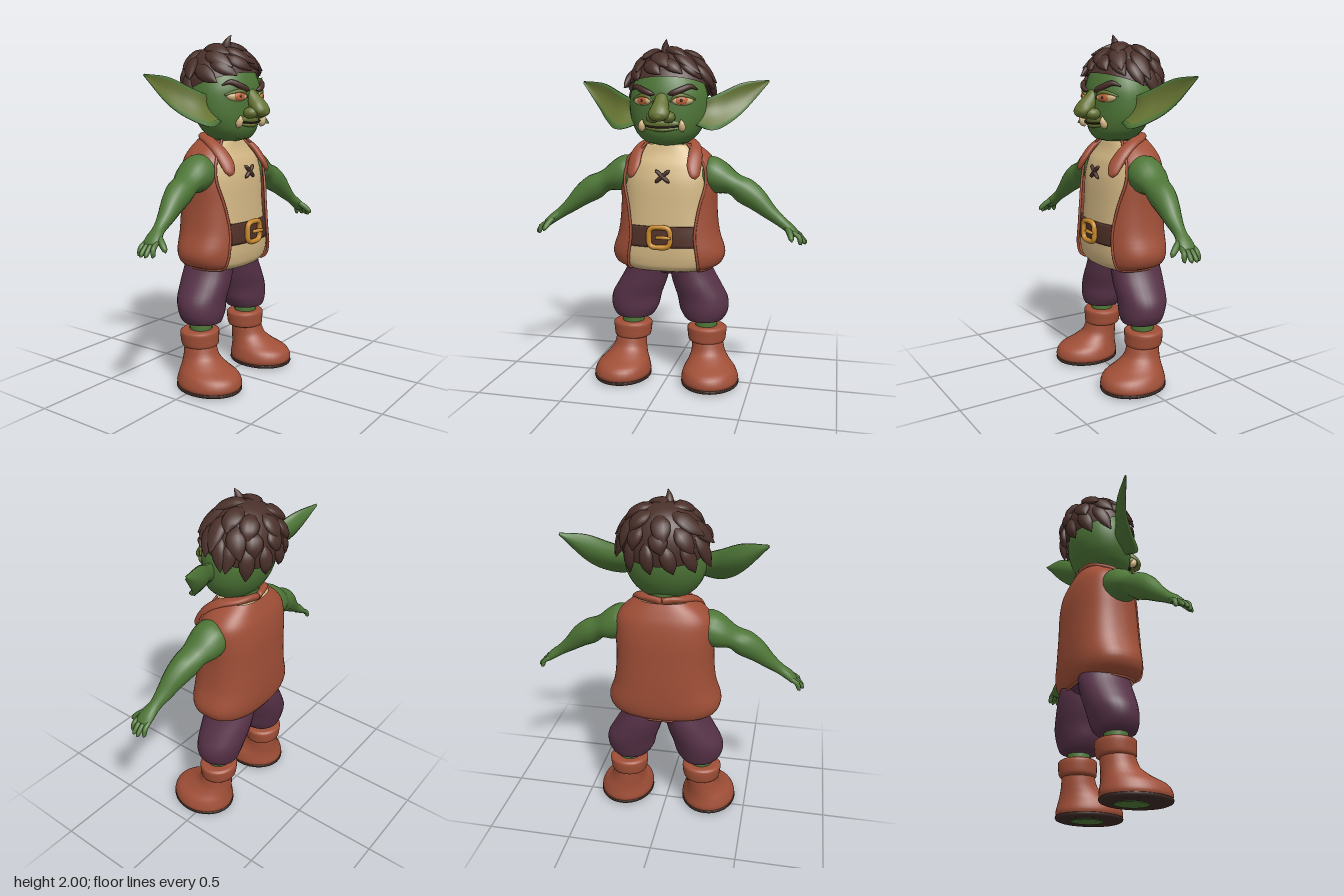
import * as THREE from 'three';

const V = (x, y, z) => new THREE.Vector3(x, y, z);
const mat = (name, color, side = THREE.FrontSide) => {
  const m = new THREE.MeshStandardMaterial({ color, side });
  m.name = name;
  return m;
};

// Surface through rings of points; wrapped rings get end caps
function skin(rings, wrap = true) {
  const n = rings[0].length, pos = [], idx = [];
  rings.forEach(r => r.forEach(p => pos.push(p.x, p.y, p.z)));
  for (let i = 0; i < rings.length - 1; i++)
    for (let j = 0; j < (wrap ? n : n - 1); j++) {
      const a = i * n + j, b = i * n + (j + 1) % n, c = a + n, d = b + n;
      idx.push(a, c, b, b, c, d);
    }
  if (wrap) [0, rings.length - 1].forEach((k, end) => {
    const mid = V(0, 0, 0), id = pos.length / 3;
    rings[k].forEach(p => mid.addScaledVector(p, 1 / n));
    pos.push(mid.x, mid.y, mid.z);
    for (let j = 0; j < n; j++) {
      const a = k * n + j, b = k * n + (j + 1) % n;
      end ? idx.push(id, b, a) : idx.push(id, a, b);
    }
  });
  const g = new THREE.BufferGeometry();
  g.setAttribute('position', new THREE.Float32BufferAttribute(pos, 3));
  g.setIndex(idx);
  g.computeVertexNormals();
  return g;
}

const bend = (v, e) => Math.sign(v) * Math.abs(v) ** e;

// Rows are [x, y, z, r1, r2]; flat keeps every section level (rows then run upward)
function sweep(rows, { up = [0, 0, 1], flat = false, pow = 1, n = 18, k = 4 } = {}) {
  const path = new THREE.CatmullRomCurve3(rows.map(r => V(r[0], r[1], r[2])));
  const size = new THREE.CatmullRomCurve3(rows.map((r, i) => V(r[3], r[4] ?? r[3], i * 0.05)));
  const R = V(...up), rings = [], steps = (rows.length - 1) * k;
  for (let i = 0; i <= steps; i++) {
    const u = i / steps, c = path.getPoint(u), s = size.getPoint(u);
    const T = flat ? V(0, 1, 0) : path.getTangent(u);
    const S = flat ? V(1, 0, 0) : T.clone().cross(R).normalize();
    const B = S.clone().cross(T);
    rings.push(Array.from({ length: n }, (_, j) => {
      const a = j / n * Math.PI * 2;
      return c.clone().addScaledVector(S, s.x * bend(Math.cos(a), pow)).addScaledVector(B, s.y * bend(Math.sin(a), pow));
    }));
  }
  return skin(rings);
}

const blob = (rx, ry, rz, x, y, z, turn = 0) =>
  new THREE.SphereGeometry(1, 20, 14).scale(rx, ry, rz).rotateY(turn).translate(x, y, z);

function mirror(geo) {
  const g = geo.clone().scale(-1, 1, 1), ix = g.index;
  for (let i = 0; i < ix.count; i += 3) {
    const a = ix.getX(i);
    ix.setX(i, ix.getX(i + 2));
    ix.setX(i + 2, a);
  }
  return g;
}

export function createModel() {
  const root = new THREE.Group();
  root.name = 'goblin';
  const skinGreen = mat('skin green', 0x4e7637), olive = mat('olive skin', 0x667432, THREE.DoubleSide);
  const hair = mat('dark brown hair', 0x4a302a, THREE.DoubleSide), leather = mat('belt brown', 0x523229);
  const cream = mat('cream cloth', 0xd3b784), rust = mat('rust leather', 0xa04f37, THREE.DoubleSide);
  const purple = mat('purple cloth', 0x573248), gold = mat('gold', 0xc88a2c);
  const orange = mat('orange iris', 0xc8683a), dark = mat('dark sole', 0x3e2b25);
  const add = (name, geo, m) => {
    const mesh = new THREE.Mesh(geo, m);
    mesh.name = name;
    root.add(mesh);
  };
  const pair = (name, geo, m) => {
    add('left' + name, geo, m);
    add('right' + name, mirror(geo), m);
  };

  // Head and neck
  add('head', sweep([[0, 1.4, 0.01, 0.03, 0.03], [0, 1.42, 0.015, 0.12, 0.105], [0, 1.47, 0.005, 0.178, 0.147],
    [0, 1.54, -0.01, 0.215, 0.172], [0, 1.62, -0.02, 0.228, 0.185], [0, 1.7, -0.02, 0.222, 0.185],
    [0, 1.8, -0.02, 0.18, 0.155], [0, 1.87, -0.02, 0.08, 0.08], [0, 1.88, -0.02, 0.01, 0.01]], { flat: true, n: 32 }), skinGreen);
  add('neck', new THREE.CylinderGeometry(0.095, 0.09, 0.14, 20).translate(0, 1.39, -0.04), skinGreen);

  // Face
  add('muzzle', blob(0.135, 0.05, 0.088, 0, 1.527, 0.083), olive);
  add('nose', sweep([[0, 1.7, 0.13, 0.03, 0.02], [0, 1.66, 0.16, 0.038, 0.032], [0, 1.615, 0.19, 0.05, 0.045],
    [0, 1.585, 0.222, 0.058, 0.042], [0, 1.568, 0.25, 0.045, 0.028], [0, 1.56, 0.265, 0.008, 0.006]]), olive);
  pair('Nostril', blob(0.037, 0.032, 0.045, 0.045, 1.565, 0.18), olive);
  add('mouth', sweep([[-0.11, 1.522, 0.143, 0.003], [-0.06, 1.512, 0.167, 0.005], [0, 1.509, 0.171, 0.005],
    [0.06, 1.512, 0.167, 0.005], [0.11, 1.522, 0.143, 0.003]], { n: 8 }), dark);
  add('lowerLip', sweep([[-0.1, 1.505, 0.135, 0.006], [0, 1.495, 0.16, 0.011], [0.1, 1.505, 0.135, 0.006]], { n: 10 }), olive);
  pair('Tusk', sweep([[0.113, 1.488, 0.14, 0.008], [0.115, 1.505, 0.152, 0.02], [0.115, 1.53, 0.162, 0.016],
    [0.11, 1.552, 0.16, 0.003]], { n: 12 }), cream);
  pair('Eye', blob(0.062, 0.026, 0.022, 0.113, 1.655, 0.136, 0.5), cream);
  pair('Iris', blob(0.034, 0.023, 0.01, 0.111, 1.656, 0.154, 0.4), orange);
  pair('Pupil', blob(0.007, 0.008, 0.005, 0.112, 1.656, 0.163, 0.4), dark);
  pair('EyeLid', sweep([[0.05, 1.65, 0.163, 0.005], [0.08, 1.678, 0.163, 0.01], [0.12, 1.683, 0.147, 0.011],
    [0.178, 1.662, 0.1, 0.005]], { n: 10 }), olive);
  pair('Brow', sweep([[0.038, 1.69, 0.165, 0.004], [0.065, 1.696, 0.169, 0.015, 0.013], [0.11, 1.714, 0.155, 0.017, 0.014],
    [0.155, 1.732, 0.122, 0.014, 0.013], [0.188, 1.715, 0.09, 0.003]], { n: 12 }), hair);

  // Ears: bowl in front, rounded behind
  const upper = new THREE.CatmullRomCurve3([V(0.19, 1.65, 0.03), V(0.3, 1.7, -0.03), V(0.42, 1.757, -0.09), V(0.56, 1.772, -0.135)]);
  const lower = new THREE.CatmullRomCurve3([V(0.18, 1.52, 0.08), V(0.28, 1.493, 0.095), V(0.37, 1.54, 0.005), V(0.44, 1.61, -0.07), V(0.562, 1.76, -0.135)]);
  const back = V(-0.45, -0.05, -0.89);
  const earPoint = (t, s, rim, bulge) => upper.getPoint(t).lerp(lower.getPoint(t), s)
    .addScaledVector(back, (1 - t * t * 0.85) * (rim + bulge * Math.sin(Math.PI * s)));
  const earRings = [], innerRings = [];
  for (let i = 0; i <= 18; i++) {
    const t = i / 18, ring = [], inner = [];
    for (let j = 0; j <= 8; j++) ring.push(earPoint(t, j / 8, 0.022, 0.055));
    for (let j = 8; j >= 0; j--) ring.push(earPoint(t, j / 8, 0, 0.035));
    for (let j = 8; j >= 0; j--) inner.push(earPoint(t * 0.95, 0.1 + 0.76 * j / 8, -0.007, 0.035));
    earRings.push(ring);
    innerRings.push(inner);
  }
  pair('Ear', skin(earRings), skinGreen);
  pair('EarInside', skin(innerRings, false), olive);

  // Hair: tilted cap with tousled, swept locks
  const place = g => g.rotateX(-0.35).translate(0, 1.7, -0.035);
  const capPoint = (az, th, k) => V(0.243 * Math.sin(th) * Math.sin(az) * k, 0.25 * Math.cos(th) * k, 0.205 * Math.sin(th) * Math.cos(az) * k);
  add('hairCap', place(new THREE.SphereGeometry(1, 32, 16, 0, Math.PI * 2, 0, 1.5).scale(0.243, 0.25, 0.205)), hair);
  [[0.25, 1.0, 6, 0.062], [0.65, 1.3, 9, 0.06], [1.0, 1.53, 13, 0.05]].forEach(([t0, t1, count, w], layer) => {
    for (let i = 0; i < count; i++) {
      const az = (i + layer * 0.4) / count * Math.PI * 2, wob = Math.sin(i * 5.3 + layer * 2);
      const end = t1 + 0.1 * wob + (layer === 2 && Math.cos(az) < -0.4 ? 0.22 : 0);
      const turn = 0.55 * (Math.cos(az) > -0.2 ? 1 : 0.3);
      const at = (f, k, r, q) => [...capPoint(az + turn * f, t0 + (end - t0) * f, k).toArray(), r, q];
      const g = sweep([at(0, 0.96, 0.012, 0.008), at(0.35, 1, w * 0.8, 0.022), at(0.7, 1.04, w * 0.72, 0.02),
        at(1, 1.1 + 0.05 * wob, 0.003, 0.003)], { up: capPoint(az + turn / 2, (t0 + end) / 2, 1).normalize().toArray(), n: 10 });
      add('hairLock', place(g), hair);
    }
  });
  add('hairSprout', sweep([[-0.01, 1.92, -0.01, 0.035], [-0.015, 1.955, 0, 0.022], [-0.005, 1.995, 0.02, 0.002]], { n: 10 }), hair);

  // Torso: vest rows are [y, z, rx, rz, half width of the front opening]
  const body = [[0.69, -0.02, 0.25, 0.165, 0.2], [0.72, -0.025, 0.31, 0.188, 0.205], [0.78, -0.028, 0.333, 0.2, 0.2],
    [0.9, -0.03, 0.298, 0.204, 0.187], [1.05, -0.033, 0.282, 0.198, 0.205], [1.2, -0.036, 0.282, 0.19, 0.238],
    [1.3, -0.042, 0.272, 0.168, 0.222], [1.36, -0.048, 0.225, 0.14, 0.17], [1.415, -0.045, 0.15, 0.118, 0.12]];
  add('shirt', sweep(body.map(([y, z, a, b]) => [0, y - 0.006, z, a - 0.02, b - 0.018]), { flat: true, pow: 0.8, n: 40 }), cream);
  const shape = new THREE.CatmullRomCurve3(body.map(r => V(r[2], r[0], r[3])));
  const cut = new THREE.CatmullRomCurve3(body.map(r => V(r[4], r[0], r[1])));
  const vest = [];
  for (let i = 0; i <= 32; i++) {
    const s = shape.getPoint(i / 32), c = cut.getPoint(i / 32);
    const open = Math.acos(Math.min(0.98, c.x / s.x) ** 1.25), from = Math.PI - open;
    vest.push(Array.from({ length: 49 }, (_, j) => {
      const a = from + (Math.PI + 2 * open) * j / 48;
      return V(s.x * bend(Math.cos(a), 0.8), s.y, c.z + s.z * bend(Math.sin(a), 0.8));
    }));
  }
  add('vest', skin(vest, false), rust);
  const edge = pts => new THREE.TubeGeometry(new THREE.CatmullRomCurve3(pts), 48, 0.008, 8);
  pair('VestEdge', edge(vest.map(r => r[48])), rust);
  add('vestHem', edge(vest[0]), rust);
  pair('Collar', sweep([[0, 1.42, -0.14, 0.03, 0.02], [0.09, 1.425, -0.11, 0.034, 0.02], [0.15, 1.405, -0.02, 0.036, 0.02],
    [0.172, 1.36, 0.055, 0.04, 0.02], [0.175, 1.29, 0.115, 0.042, 0.02], [0.185, 1.24, 0.14, 0.028, 0.014],
    [0.19, 1.222, 0.142, 0.003, 0.003]], { up: [0.4, 0.65, 0.65] }), rust);
  pair('Lace', sweep([[-0.04, 1.2, 0.146, 0.004], [-0.03, 1.209, 0.149, 0.011], [0.03, 1.261, 0.145, 0.011],
    [0.04, 1.27, 0.14, 0.004]], { n: 10 }), hair);

  // Belt and buckle
  add('belt', sweep([[0, 0.83, -0.029, 0.309, 0.196], [0, 0.89, -0.03, 0.292, 0.199], [0, 0.95, -0.031, 0.281, 0.197]],
    { flat: true, pow: 0.8, n: 40 }), leather);
  const loop = Array.from({ length: 24 }, (_, i) => {
    const a = i / 24 * Math.PI * 2;
    return V(0.062 * bend(Math.cos(a), 0.55) - 0.008, 0.892 + 0.058 * bend(Math.sin(a), 0.55), 0.183);
  });
  add('buckle', new THREE.TubeGeometry(new THREE.CatmullRomCurve3(loop, true), 64, 0.015, 10, true), gold);
  add('bucklePin', sweep([[-0.025, 0.892, 0.19, 0.01], [0.02, 0.895, 0.203, 0.011], [0.06, 0.892, 0.2, 0.007]], { n: 10 }), gold);

  // Arms and hands
  pair('Arm', sweep([[0.17, 1.26, -0.03, 0.06], [0.24, 1.243, -0.025, 0.102, 0.105], [0.31, 1.215, -0.02, 0.092, 0.104],
    [0.385, 1.185, -0.01, 0.064, 0.082], [0.45, 1.148, 0, 0.075, 0.076], [0.515, 1.105, 0.012, 0.066, 0.064],
    [0.59, 1.04, 0.025, 0.045, 0.047], [0.655, 0.99, 0.035, 0.032, 0.034], [0.71, 0.95, 0.045, 0.027, 0.046],
    [0.745, 0.92, 0.048, 0.02, 0.044], [0.755, 0.912, 0.048, 0.005, 0.02]]), skinGreen);
  for (let i = 0; i < 4; i++) {
    const z = 0.012 + i * 0.024, reach = [0.785, 0.803, 0.8, 0.78][i];
    pair('Finger', sweep([[0.725, 0.937, z, 0.012], [0.765, 0.91, z - 0.002 + i * 0.003, 0.014],
      [reach - 0.008, 0.88, z - 0.004 + i * 0.005, 0.012], [reach, 0.87, z - 0.004 + i * 0.005, 0.003]], { n: 10, k: 3 }), skinGreen);
  }
  pair('Thumb', sweep([[0.69, 0.965, 0.06, 0.015], [0.712, 0.935, 0.1, 0.018], [0.725, 0.905, 0.132, 0.014],
    [0.728, 0.892, 0.142, 0.003]], { n: 10, up: [1, 0, 0] }), skinGreen);

  // Breeches
  add('breechesSeat', blob(0.23, 0.1, 0.15, 0, 0.735, -0.048), purple);
  pair('BreechesLeg', sweep([[0.212, 0.365, -0.03, 0.06, 0.06], [0.214, 0.375, -0.033, 0.11, 0.112], [0.212, 0.43, -0.037, 0.143, 0.13],
    [0.203, 0.5, -0.045, 0.15, 0.14], [0.168, 0.58, -0.048, 0.143, 0.15], [0.135, 0.66, -0.05, 0.13, 0.153],
    [0.11, 0.74, -0.045, 0.12, 0.15]], { flat: true, n: 28 }), purple);

  // Ankles and boots
  pair('Ankle', new THREE.CylinderGeometry(0.066, 0.066, 0.12, 20).translate(0.226, 0.35, -0.035), skinGreen);
  pair('BootCuff', sweep([[0.23, 0.232, -0.035, 0.085, 0.085], [0.23, 0.242, -0.037, 0.108, 0.104], [0.23, 0.28, -0.04, 0.115, 0.109],
    [0.23, 0.32, -0.04, 0.117, 0.109], [0.23, 0.332, -0.04, 0.1, 0.095]], { flat: true, n: 28 }), rust);
  pair('Boot', sweep([[0.267, 0.022, 0.055, 0.162, 0.19], [0.266, 0.05, 0.056, 0.167, 0.197], [0.262, 0.095, 0.05, 0.152, 0.183],
    [0.252, 0.135, 0.012, 0.122, 0.14], [0.242, 0.18, -0.02, 0.1, 0.106], [0.235, 0.25, -0.033, 0.09, 0.092]],
    { flat: true, n: 32 }), rust);
  pair('Sole', sweep([[0.267, 0.004, 0.055, 0.15, 0.178], [0.267, 0.012, 0.055, 0.166, 0.195], [0.267, 0.026, 0.055, 0.169, 0.198],
    [0.267, 0.031, 0.055, 0.16, 0.19]], { flat: true, n: 32 }), dark);
  pair('SolePatch', new THREE.CylinderGeometry(1, 1, 0.005, 28).scale(0.08, 1, 0.095).translate(0.255, 0.0025, 0.035), skinGreen);

  return root;
}
